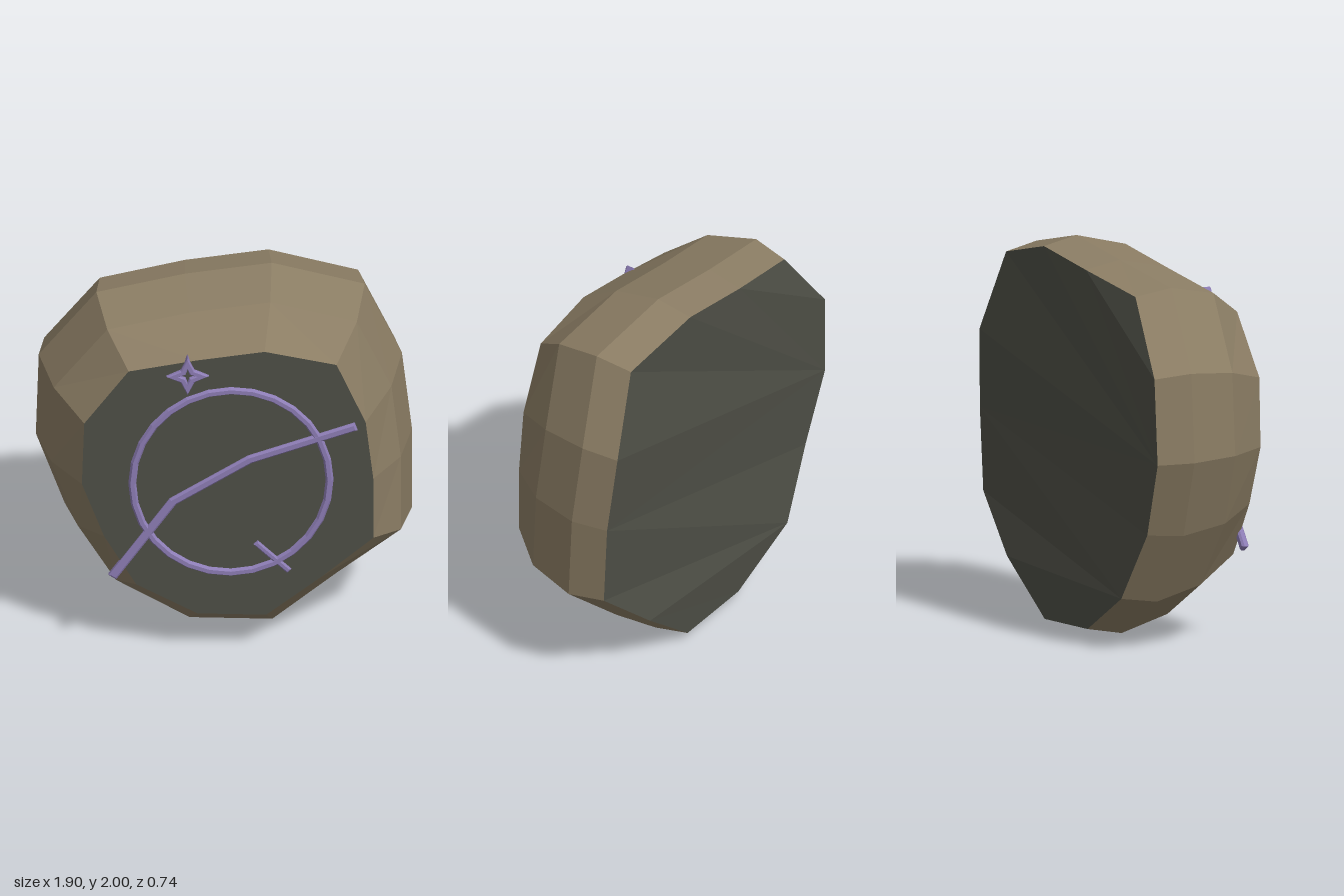
import * as THREE from 'three';

// Outline of the stone at its widest, counter-clockwise seen from the front
const OUTLINE = [
  [0.95, 1.02], [0.9, 1.45], [0.71, 1.89], [0.24, 2.0], [-0.2, 1.945], [-0.65, 1.87], [-0.94, 1.48],
  [-0.955, 1.02], [-0.81, 0.62], [-0.6, 0.25], [-0.2, 0.02], [0.25, 0.0], [0.61, 0.28], [0.95, 0.57],
];
// Uneven depth of each outline corner
const DEPTH = [0, -0.03, 0.02, -0.02, -0.02, 0.02, -0.03, -0.02, 0, -0.035, -0.01, -0.01, -0.03, 0.02];
const CENTRE_Y = 1.02;
const N = OUTLINE.length;

// One scaled copy of the outline at depth z
function ring(scale, z, uneven) {
  return OUTLINE.map(([x, y], i) =>
    [x * scale, CENTRE_Y + (y - CENTRE_Y) * scale, z + DEPTH[i] * uneven]);
}

function fromTriangles(points) {
  const geometry = new THREE.BufferGeometry();
  geometry.setAttribute('position', new THREE.Float32BufferAttribute(points.flat(), 3));
  geometry.computeVertexNormals();
  return geometry;
}

// Polyline widened to a mitred band
function bandShape(path, halfWidth) {
  const pts = path.map(([x, y]) => new THREE.Vector2(x, y));
  const left = [], right = [];
  pts.forEach((p, i) => {
    const before = p.clone().sub(pts[Math.max(i - 1, 0)]).normalize();
    const after = pts[Math.min(i + 1, pts.length - 1)].clone().sub(p).normalize();
    const dir = before.clone().add(after).normalize();
    const side = new THREE.Vector2(-dir.y, dir.x);
    const ref = i === 0 ? after : before;
    side.multiplyScalar(halfWidth / dir.dot(ref));
    left.push(p.clone().add(side));
    right.unshift(p.clone().sub(side));
  });
  return new THREE.Shape([...right, ...left]);
}

// Four-pointed star corners
function starPoints(outer, inner) {
  return Array.from({ length: 8 }, (_, i) => {
    const r = i % 2 ? inner : outer, a = (i * Math.PI) / 4;
    return new THREE.Vector2(r * Math.cos(a), r * Math.sin(a));
  });
}

// Raised carving with chamfered edges, front at z = top
function carve(shape, top, depth, chamfer) {
  const geometry = new THREE.ExtrudeGeometry(shape, {
    depth, bevelEnabled: true, bevelSegments: 1, bevelSize: chamfer, bevelThickness: chamfer,
  });
  geometry.translate(0, 0, top - depth - chamfer);
  return geometry;
}

export function createModel() {
  const group = new THREE.Group();
  const stone = new THREE.MeshStandardMaterial({ color: 0x8b7d64, flatShading: true });
  stone.name = 'brown stone';
  const slate = new THREE.MeshStandardMaterial({ color: 0x4e4f46, flatShading: true });
  slate.name = 'dark slate';
  const violet = new THREE.MeshStandardMaterial({ color: 0x8d7db5, flatShading: true });
  violet.name = 'violet';

  const add = (name, geometry, material) => {
    const mesh = new THREE.Mesh(geometry, material);
    mesh.name = name;
    group.add(mesh);
    return mesh;
  };

  // Faceted rim from four rings, front to back
  const rings = [ring(0.775, 0.35, 0), ring(0.93, 0.135, 0.9), ring(1, -0.14, 1), ring(0.962, -0.335, 1)];
  const sides = [];
  for (let k = 0; k < rings.length - 1; k++) {
    for (let i = 0; i < N; i++) {
      const j = (i + 1) % N;
      const a = rings[k][i], b = rings[k][j], c = rings[k + 1][j], d = rings[k + 1][i];
      sides.push(a, d, c, a, c, b);
    }
  }
  add('stoneRim', fromTriangles(sides), stone);

  // Flat front face
  const front = [];
  for (let i = 1; i < N - 1; i++) front.push(rings[0][0], rings[0][i], rings[0][i + 1]);
  add('frontFace', fromTriangles(front), slate);

  // Slightly uneven back face
  const backTriangles = [
    [4, 5, 6], [4, 6, 7], [3, 4, 7], [2, 3, 7], [1, 2, 7], [0, 1, 7],
    [0, 7, 8], [0, 8, 9], [13, 0, 9], [12, 13, 9], [12, 9, 10], [12, 10, 11],
  ];
  const back = backTriangles.flatMap(([a, b, c]) => [rings[3][a], rings[3][c], rings[3][b]]);
  add('backFace', fromTriangles(back), slate);

  // Oval ring on the front
  const oval = add('ovalRing', new THREE.TorusGeometry(0.5, 0.02, 6, 28), violet);
  oval.scale.set(1.0, 1.07, 0.9);
  oval.position.set(0.015, 1.02, 0.35);

  // Bent bar across the ring, and a short tick
  const bar = [[-0.58, 0.48], [-0.28, 0.91], [0.11, 1.15], [0.64, 1.33]];
  add('bentBar', carve(bandShape(bar, 0.013), 0.367, 0.02, 0.01), violet);
  add('shortTick', carve(bandShape([[0.145, 0.655], [0.305, 0.495]], 0.008), 0.365, 0.02, 0.007), violet);

  // Four-pointed star with a pierced centre
  const star = new THREE.Shape(starPoints(0.098, 0.042));
  star.holes.push(new THREE.Path(starPoints(0.05, 0.022).reverse()));
  const starMesh = add('star', carve(star, 0.37, 0.04, 0.007), violet);
  starMesh.position.set(-0.205, 1.65, 0);

  return group;
}
